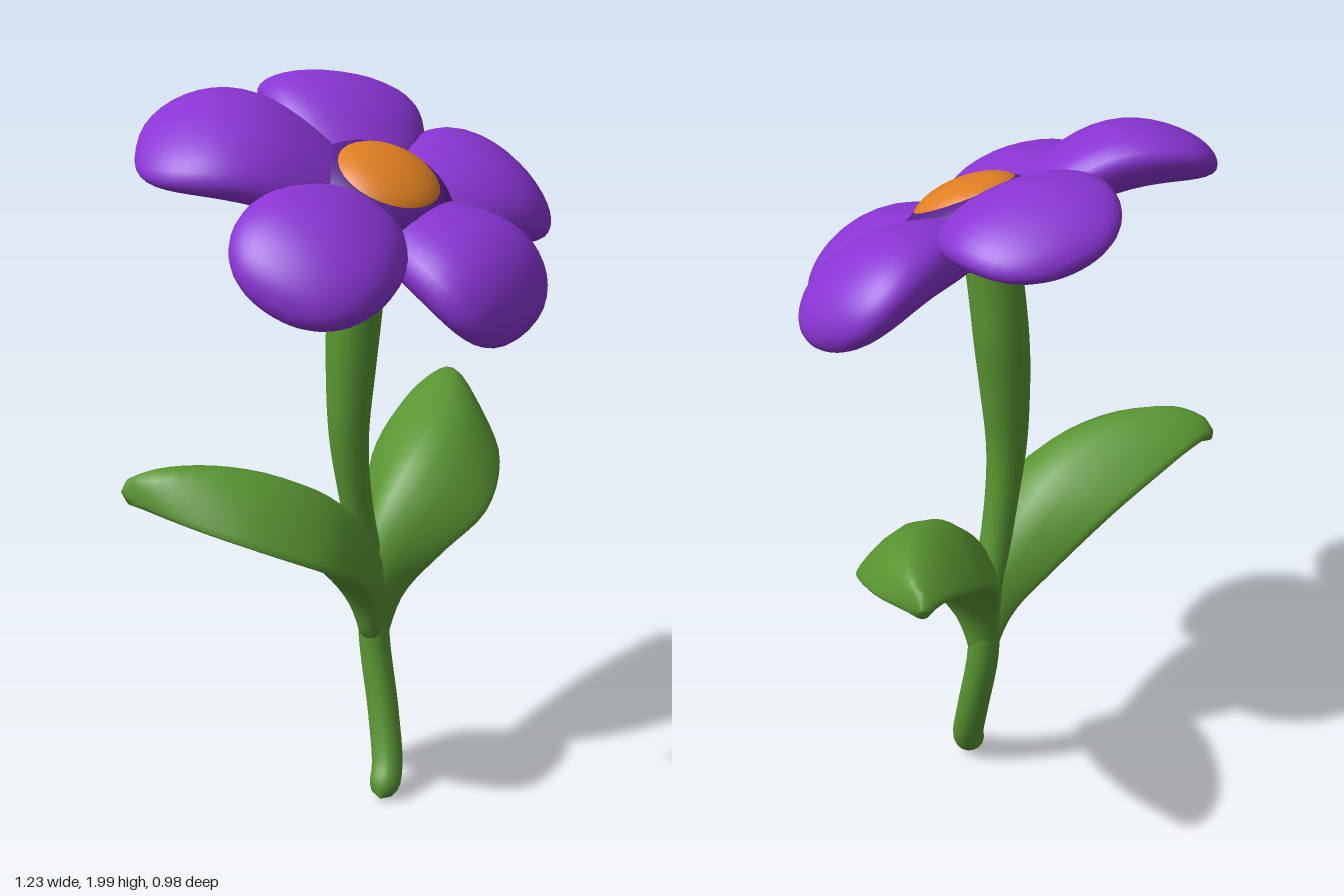
import * as THREE from 'three';

const V = (x, y, z) => new THREE.Vector3(x, y, z);
const mat = (name, color) => {
  const m = new THREE.MeshStandardMaterial({ color });
  m.name = name;
  return m;
};

// Closed skin over a list of equal-length rings of points
function loft(rings, flip) {
  const n = rings[0].length, pos = [], idx = [];
  rings.forEach(r => r.forEach(p => pos.push(p.x, p.y, p.z)));
  for (let j = 0; j < rings.length - 1; j++) {
    for (let i = 0; i < n; i++) {
      const a = j * n + i, b = j * n + (i + 1) % n, c = a + n, d = b + n;
      if (flip) idx.push(a, c, b, b, c, d);
      else idx.push(a, b, c, b, d, c);
    }
  }
  const g = new THREE.BufferGeometry();
  g.setAttribute('position', new THREE.Float32BufferAttribute(pos, 3));
  g.setIndex(idx);
  g.computeVertexNormals();
  return g;
}

// Curved stem, thin in the middle and wider under the flower
function stemGeometry() {
  const curve = new THREE.CatmullRomCurve3([
    V(-0.06, 0.015, 0.09), V(-0.005, 0.075, 0.062), V(0.032, 0.22, 0.012), V(0.044, 0.42, -0.035),
    V(0.035, 0.6, -0.04), V(-0.02, 0.82, -0.035), V(-0.055, 1.05, -0.035),
    V(-0.048, 1.25, -0.035), V(-0.033, 1.45, -0.03), V(-0.025, 1.68, -0.005),
  ]);
  const steps = 90, sides = 16, cap = [0.02, 0.7, 0.92];
  const frames = curve.computeFrenetFrames(steps);
  const rings = [];
  for (let j = 0; j <= steps; j++) {
    const p = curve.getPointAt(j / steps);
    const r = (0.044 + 0.031 * THREE.MathUtils.smoothstep(p.y, 0.8, 1.45)) * (cap[j] ?? 1);
    const ring = [];
    for (let i = 0; i < sides; i++) {
      const a = i / sides * Math.PI * 2;
      ring.push(p.clone().addScaledVector(frames.normals[j], r * Math.cos(a))
        .addScaledVector(frames.binormals[j], r * Math.sin(a)));
    }
    rings.push(ring);
  }
  return loft(rings, false);
}

// Plump leaf between a front and a back edge, domed above and nearly flat below
function leafGeometry(mirror) {
  const front = new THREE.CatmullRomCurve3([
    V(0.055, 0.42, -0.01), V(0.09, 0.57, 0.03), V(0.17, 0.69, 0.10), V(0.31, 0.785, 0.135),
    V(0.47, 0.88, 0.04), V(0.58, 0.95, -0.14), V(0.62, 1.0, -0.31),
  ]);
  const back = new THREE.CatmullRomCurve3([
    V(0.04, 0.42, -0.065), V(0.065, 0.57, -0.10), V(0.14, 0.71, -0.175), V(0.265, 0.865, -0.265),
    V(0.42, 0.955, -0.315), V(0.545, 1.0, -0.335), V(0.612, 1.0, -0.335),
  ]);
  const steps = 26, sides = 20, rings = [];
  for (let j = 0; j <= steps; j++) {
    const s = j / steps, f = front.getPoint(s), b = back.getPoint(s);
    const mid = f.clone().lerp(b, 0.5), half = f.clone().sub(b).multiplyScalar(0.5);
    const tangent = front.getTangent(s).add(back.getTangent(s));
    const normal = half.clone().cross(tangent).normalize();
    const bulge = 0.135 * Math.sin(Math.PI * s);
    const end = j === 0 || j === steps ? 0.02 : 1;
    const thick = end * 0.03;
    const ring = [];
    for (let i = 0; i < sides; i++) {
      const a = i / sides * Math.PI * 2, sin = Math.sin(a);
      const p = mid.clone().addScaledVector(half, Math.cos(a) * end)
        .addScaledVector(normal, bulge * sin * sin * (0.48 + 0.45 * sin) + thick * sin);
      if (mirror) p.set(-p.x + 0.09 * (1 - s) ** 2, p.y - 0.03 * s, p.z);
      ring.push(p);
    }
    rings.push(ring);
  }
  return loft(rings, !mirror);
}

const CENTRE = V(-0.02, 1.695, 0.03);
const UP = V(0, 0.89, 0.455).normalize();

// Plump petal: a blunt ball narrowed toward the flower centre, arched and drooping at the tip
function petalGeometry(tip, width, thick, arch) {
  const g = new THREE.SphereGeometry(1, 32, 24);
  g.rotateZ(Math.PI / 2);
  const dir = tip.clone().sub(CENTRE), len = dir.length();
  dir.normalize();
  const normal = UP.clone().addScaledVector(dir, -UP.dot(dir)).normalize();
  const side = dir.clone().cross(normal);
  const p = g.attributes.position;
  for (let i = 0; i < p.count; i++) {
    const s = (p.getX(i) + 1) / 2;
    const blunt = Math.max(Math.hypot(p.getY(i), p.getZ(i)), 0.001) ** -0.2;
    p.setXYZ(i, s * len,
      p.getY(i) * blunt * thick * (0.8 + 0.3 * s) + arch * Math.sin(Math.PI * s ** 1.3),
      p.getZ(i) * blunt * width * (0.62 + 0.53 * s));
  }
  g.applyMatrix4(new THREE.Matrix4().makeBasis(dir, normal, side).setPosition(CENTRE));
  g.computeVertexNormals();
  return g;
}

export function createModel() {
  const green = mat('leaf green', 0x5a9632);
  const purple = mat('petal purple', 0x8a35d4);
  const dark = mat('dark purple', 0x55208a);
  const orange = mat('centre orange', 0xdf7f22);

  const root = new THREE.Group();
  root.name = 'flower';
  const add = (name, geometry, material) => {
    const m = new THREE.Mesh(geometry, material);
    m.name = name;
    root.add(m);
    return m;
  };

  add('stem', stemGeometry(), green);
  add('leftLeaf', leafGeometry(false), green);
  add('rightLeaf', leafGeometry(true), green);

  // Five petals: name, tip, half width, half thickness, arch
  [
    ['backRightPetal', V(-0.485, 1.865, -0.375), 0.242, 0.095, 0.085],
    ['backLeftPetal', V(0.235, 1.875, -0.475), 0.242, 0.095, 0.085],
    ['leftPetal', V(0.55, 1.62, 0.03), 0.232, 0.112, 0.055],
    ['frontPetal', V(0.09, 1.42, 0.45), 0.238, 0.108, 0.06],
    ['rightPetal', V(-0.56, 1.58, 0.22), 0.232, 0.11, 0.055],
  ].forEach(([name, tip, w, t, a]) => add(name, petalGeometry(tip, w, t, a), purple));

  // Flattened balls facing along the flower's tilt
  const dome = (name, material, lift, r, h) => {
    const m = add(name, new THREE.SphereGeometry(1, 28, 16), material);
    m.scale.set(r, h, r);
    m.quaternion.setFromUnitVectors(V(0, 1, 0), UP);
    m.position.copy(CENTRE).addScaledVector(UP, lift);
  };
  dome('darkRing', dark, 0.045, 0.2, 0.09);
  dome('flowerCentre', orange, 0.085, 0.15, 0.068);
  dome('collar', dark, -0.05, 0.1, 0.045);
  return root;
}
